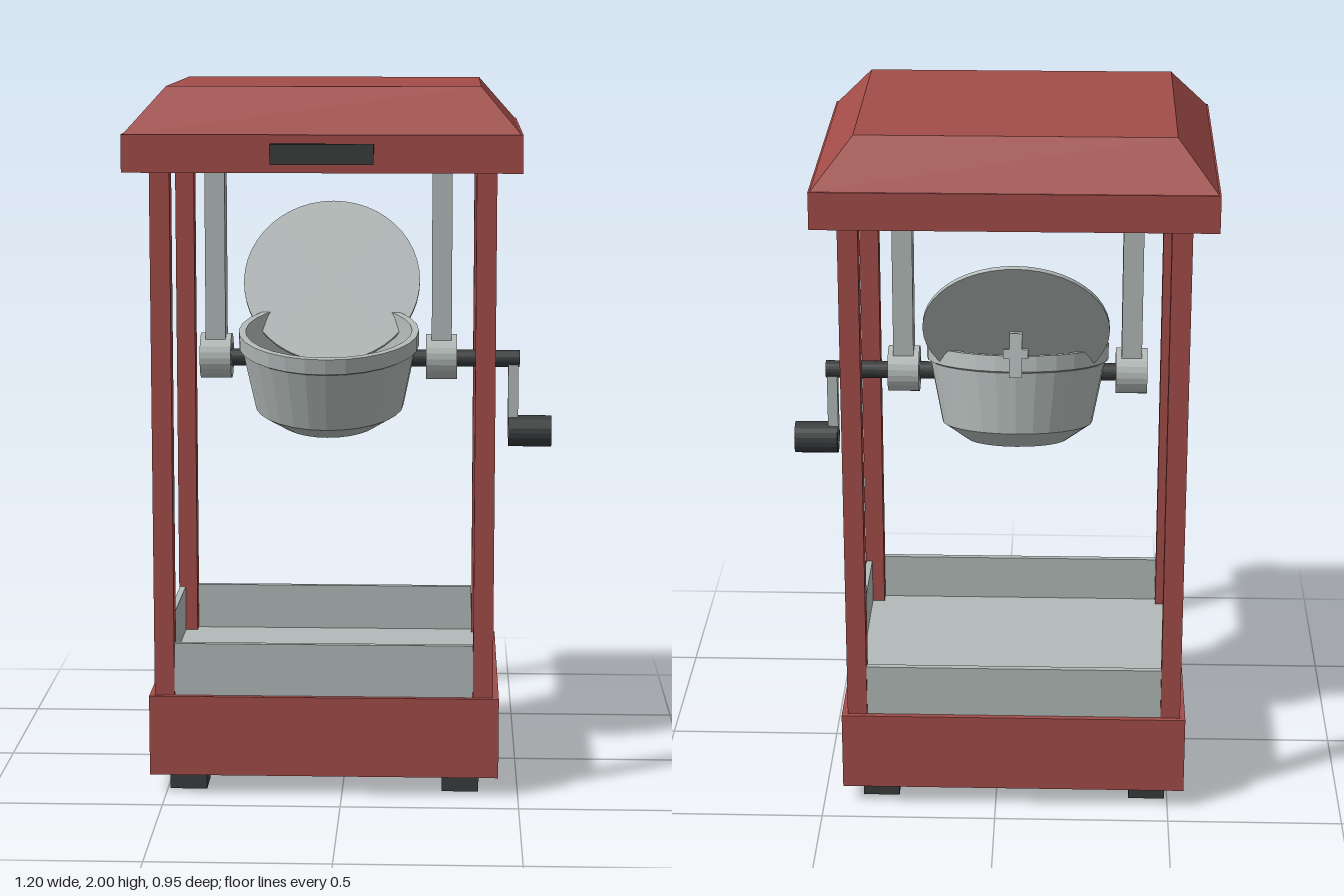
import * as THREE from 'three';

const mat = (color, extra = {}) => new THREE.MeshStandardMaterial({ color, flatShading: true, ...extra });
const red = mat(0xa34d49);
const grey = mat(0xb2bab8);
const greyThin = mat(0xb2bab8, { side: THREE.DoubleSide });
const dark = mat(0x3a3c3d);

export function createModel() {
  const model = new THREE.Group();
  const CX = -0.052, CZ = -0.015; // centre of the cabinet

  const add = (name, geometry, material, parent = model) => {
    const mesh = new THREE.Mesh(geometry, material);
    mesh.name = name;
    parent.add(mesh);
    return mesh;
  };
  // Box given by its limits on each axis
  const box = (name, material, [x0, x1], [y0, y1], [z0, z1], parent) => {
    const mesh = add(name, new THREE.BoxGeometry(x1 - x0, y1 - y0, z1 - z0), material, parent);
    mesh.position.set((x0 + x1) / 2, (y0 + y1) / 2, (z0 + z1) / 2);
    return mesh;
  };
  // Cylinder lying along x
  const rod = (name, material, r, x0, x1, y, z, sides = 20) => {
    const geometry = new THREE.CylinderGeometry(r, r, x1 - x0, sides).rotateZ(Math.PI / 2);
    const mesh = add(name, geometry, material);
    mesh.position.set((x0 + x1) / 2, y, z);
    return mesh;
  };

  // Base and feet
  box('base', red, [-0.546, 0.444], [0.055, 0.285], [-0.42, 0.39]);
  for (const sx of [-1, 1]) for (const sz of [-1, 1]) {
    const foot = add('foot', new THREE.BoxGeometry(0.105, 0.055, 0.105), dark);
    foot.position.set(CX + sx * 0.388, 0.0275, CZ + sz * 0.302);
    const post = add('post', new THREE.BoxGeometry(0.056, 1.49, 0.056), red);
    post.position.set(CX + sx * 0.451, 1.027, CZ + sz * 0.363);
  }

  // Tray with low walls between the posts
  box('trayFloor', grey, [-0.475, 0.371], [0.28, 0.3], [-0.35, 0.32]);
  for (const s of [-1, 1]) {
    const endWall = add('trayWall', new THREE.BoxGeometry(0.845, 0.15, 0.018), grey);
    endWall.position.set(CX, 0.36, CZ + s * 0.38);
    const sideWall = add('trayWall', new THREE.BoxGeometry(0.018, 0.15, 0.67), grey);
    sideWall.position.set(CX + s * 0.468, 0.36, CZ);
    // Floor strips reaching out to the walls
    const endStrip = add('trayFloor', new THREE.BoxGeometry(0.845, 0.02, 0.05), grey);
    endStrip.position.set(CX, 0.29, CZ + s * 0.358);
    const sideStrip = add('trayFloor', new THREE.BoxGeometry(0.05, 0.02, 0.67), grey);
    sideStrip.position.set(CX + s * 0.446, 0.29, CZ);
  }

  // Roof: straight rim and a tapered cap
  box('roofRim', red, [-0.6, 0.496], [1.77, 1.874], [-0.475, 0.444]);
  const capGeometry = new THREE.BoxGeometry(1.086, 0.126, 0.91);
  const p = capGeometry.attributes.position;
  for (let i = 0; i < p.count; i++) {
    if (p.getY(i) > 0) {
      p.setX(i, Math.sign(p.getX(i)) * 0.434);
      p.setZ(i, Math.sign(p.getZ(i)) * 0.345);
    }
  }
  capGeometry.computeVertexNormals();
  add('roofCap', capGeometry, red).position.set(CX, 1.937, CZ);
  box('signPlate', dark, [-0.192, 0.09], [1.795, 1.85], [0.43, 0.478]);

  // Hangers with bearing rings at the bottom
  const AY = 1.205, AZ = -0.013;
  const ringProfile = [[0.034, -0.045], [0.066, -0.045], [0.066, 0.045], [0.034, 0.045], [0.034, -0.045]]
    .map(([r, y]) => new THREE.Vector2(r, y));
  for (const s of [-1, 1]) {
    const x = CX + s * 0.328;
    box('hanger', grey, [x - 0.029, x + 0.029], [1.25, 1.775], [AZ - 0.04, AZ + 0.04]);
    const ring = add('bearingRing', new THREE.LatheGeometry(ringProfile, 24), greyThin);
    ring.rotation.z = Math.PI / 2;
    ring.position.set(x, AY, AZ);
  }

  // Axle and hand crank
  rod('axle', dark, 0.025, -0.385, -0.275, 1.2, AZ);
  rod('axle', dark, 0.025, 0.17, 0.503, 1.2, AZ);
  box('crankArm', grey, [0.47, 0.5], [0.97, 1.195], [AZ - 0.019, AZ + 0.019]);
  rod('crankHandle', dark, 0.046, 0.472, 0.597, 0.987, AZ);

  // Kettle: tilted open pot, origin at the centre of its rim
  const kettle = new THREE.Group();
  kettle.name = 'kettle';
  kettle.position.set(CX, 1.283, 0.003);
  kettle.rotation.x = 0.2;
  model.add(kettle);
  const potProfile = [
    [0, -0.28], [0.145, -0.28], [0.217, -0.23], [0.253, -0.05], [0.262, -0.045], [0.262, 0],
    [0.242, 0], [0.235, -0.05], [0.2, -0.22], [0.14, -0.262], [0, -0.262],
  ].map(([r, y]) => new THREE.Vector2(r, y));
  add('pot', new THREE.LatheGeometry(potProfile, 28), greyThin, kettle);

  // Hinge at the back of the pot
  box('hingeTab', grey, [-0.018, 0.018], [-0.06, 0.065], [-0.272, -0.235], kettle);
  box('hingePin', grey, [-0.035, 0.035], [-0.005, 0.02], [-0.272, -0.25], kettle);

  // Lid: round plate leaning back, its lower part inside the pot
  const lid = add('lid', new THREE.CylinderGeometry(0.262, 0.262, 0.012, 48), grey);
  lid.position.set(CX, 1.402, -0.213);
  lid.rotation.x = Math.PI / 2 - Math.atan2(0.2, 0.335);

  return model;
}
